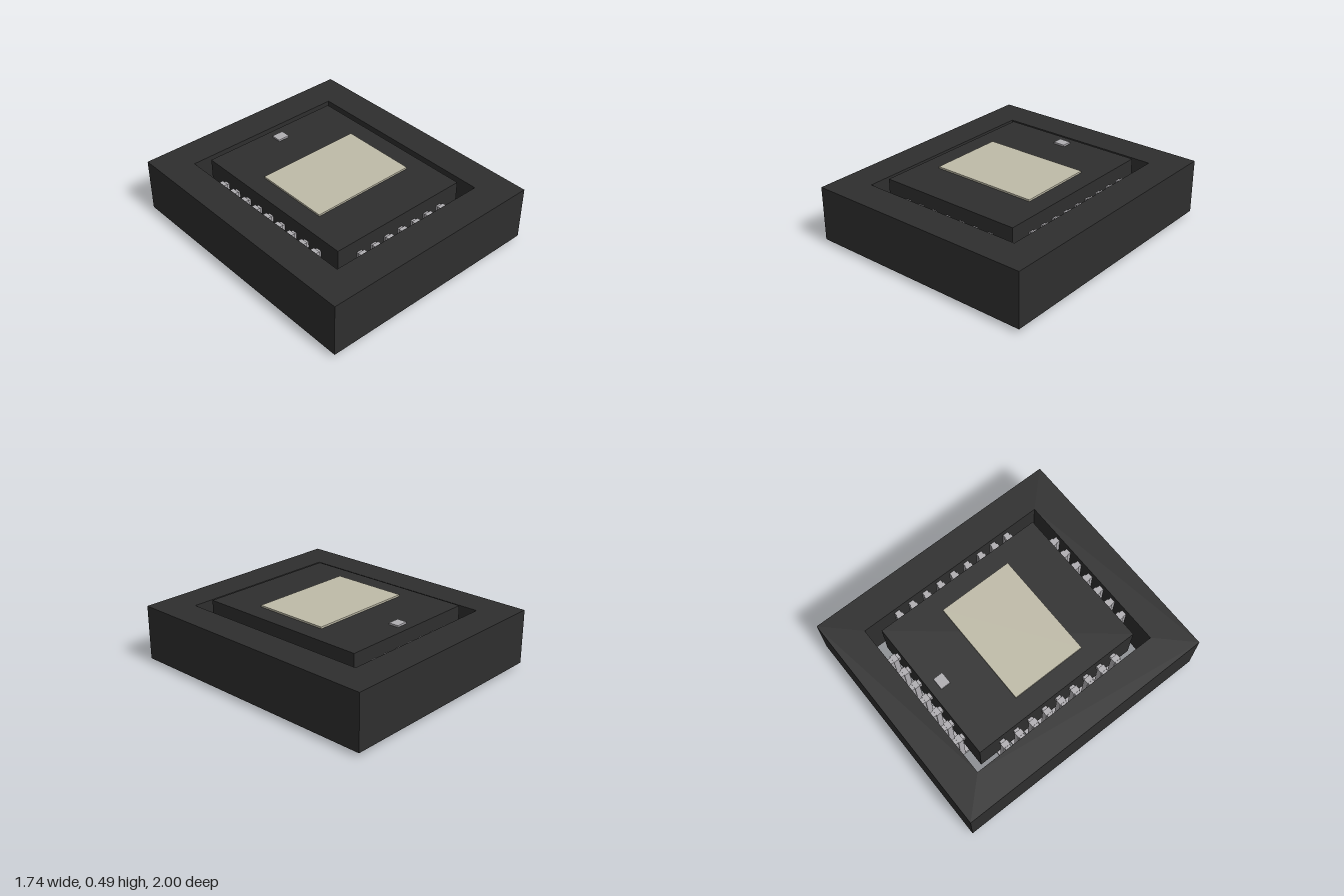
import * as THREE from 'three';

const black = new THREE.MeshStandardMaterial({ color: 0x2e2e2e });
black.name = 'black plastic';
const silver = new THREE.MeshStandardMaterial({ color: 0xb0aeb2 });
silver.name = 'silver metal';
const beige = new THREE.MeshStandardMaterial({ color: 0xbfbba8 });
beige.name = 'beige label';

// Box given by its lower and upper corners
function box(name, material, [x0, y0, z0], [x1, y1, z1]) {
  const mesh = new THREE.Mesh(new THREE.BoxGeometry(x1 - x0, y1 - y0, z1 - z0), material);
  mesh.position.set((x0 + x1) / 2, (y0 + y1) / 2, (z0 + z1) / 2);
  mesh.name = name;
  return mesh;
}

// One pin pointing along +x, with its origin at the wall of the chip body
function createPin() {
  const pin = new THREE.Group();
  pin.name = 'pin';
  pin.add(
    box('pinShoulder', silver, [-0.02, 0.33, -0.02], [0.025, 0.375, 0.02]),
    box('pinLeg', silver, [0.02, 0.03, -0.027], [0.06, 0.385, 0.027]),
    box('pinFoot', silver, [-0.1, 0, -0.027], [0.06, 0.03, 0.027]),
    box('socketContact', silver, [0.06, 0.06, -0.021], [0.09, 0.38, 0.021])
  );
  return pin;
}

// A row of pins along one side of the chip
function createPinRow(name, count, distance, angle) {
  const row = new THREE.Group();
  row.name = name;
  const pitch = 0.122;
  for (let i = 0; i < count; i++) {
    const pin = createPin();
    pin.position.set(distance, 0, (i - (count - 1) / 2) * pitch);
    row.add(pin);
  }
  row.rotation.y = angle;
  return row;
}

// Rectangular socket frame with an open middle
function createFrame() {
  const rect = (Type, w, d) => new Type([
    new THREE.Vector2(-w, -d), new THREE.Vector2(w, -d),
    new THREE.Vector2(w, d), new THREE.Vector2(-w, d)
  ]);
  const shape = rect(THREE.Shape, 0.872, 1);
  shape.holes.push(rect(THREE.Path, 0.636, 0.758));
  const geometry = new THREE.ExtrudeGeometry(shape, { depth: 0.405, bevelEnabled: false });
  geometry.rotateX(-Math.PI / 2).translate(0, 0.03, 0);
  const frame = new THREE.Mesh(geometry, black);
  frame.name = 'socketFrame';
  return frame;
}

export function createModel() {
  const model = new THREE.Group();
  model.name = 'socketedChip';
  model.add(
    createFrame(),
    box('chipBody', black, [-0.55, 0.13, -0.67], [0.55, 0.474, 0.67]),
    box('label', beige, [-0.405, 0.474, -0.25], [0.405, 0.487, 0.325]),
    box('orientationMark', silver, [-0.045, 0.474, -0.605], [0.045, 0.487, -0.53])
  );
  // Nine pins on the long sides, seven on the short sides
  model.add(
    createPinRow('leftPins', 9, 0.55, 0),
    createPinRow('rightPins', 9, 0.55, Math.PI),
    createPinRow('backPins', 7, 0.67, Math.PI / 2),
    createPinRow('frontPins', 7, 0.67, -Math.PI / 2)
  );
  return model;
}
